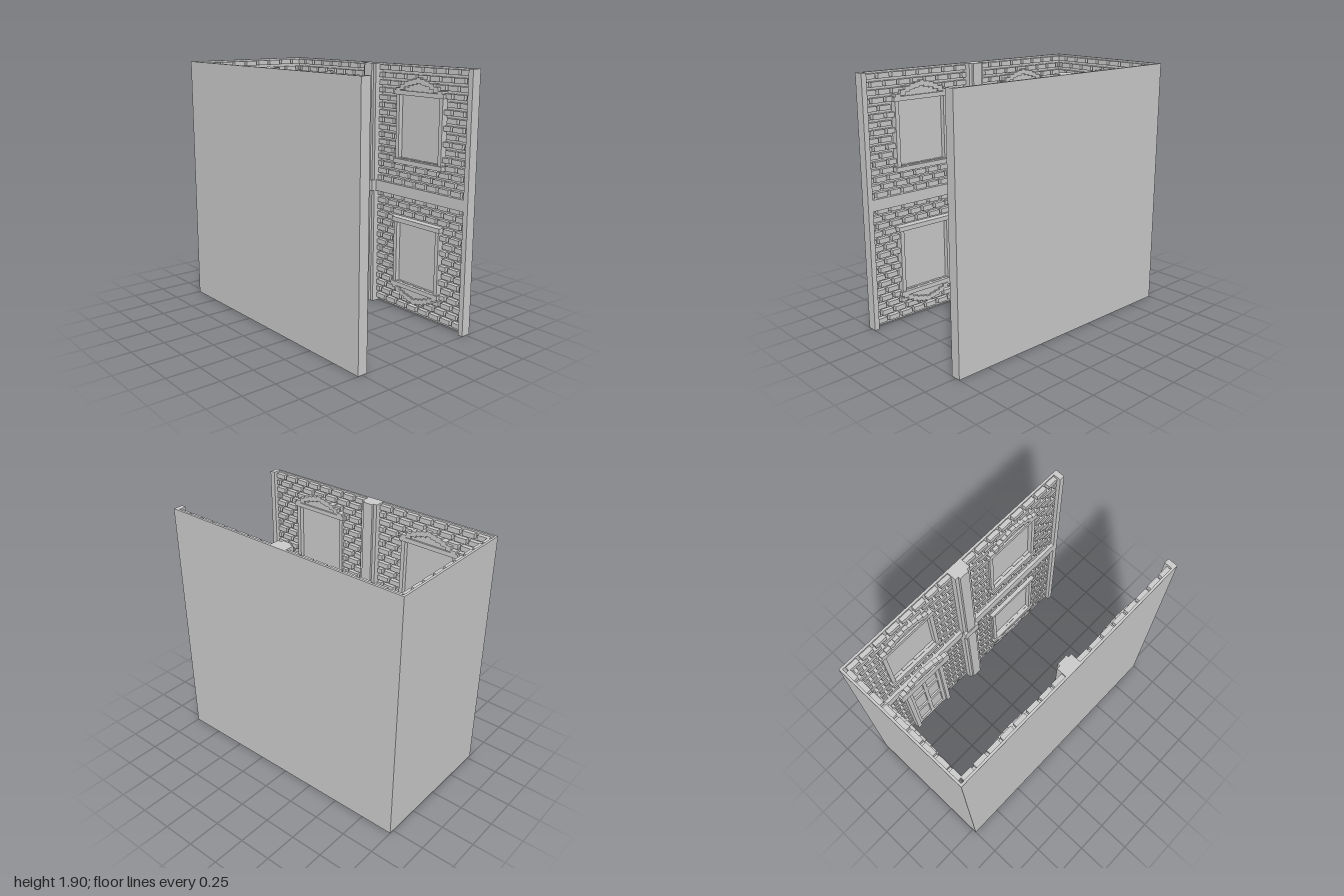
import * as THREE from 'three';
import { mergeGeometries } from 'three/addons/utils/BufferGeometryUtils.js';

const H = 1.9, BAND = [0.915, 1.0];
const MORTAR = 0.017, BRICK = 0.05, TRIM = 0.075;
const COURSE = 0.0567, PITCH = 0.115, GAP = 0.022;
const mat = new THREE.MeshStandardMaterial({ color: 0xcccccc, flatShading: true });

// Box given by its limits: u along the wall, y up, d out of the wall's outer face
function box(u0, u1, y0, y1, d0, d1) {
  const g = new THREE.BoxGeometry(u1 - u0, Math.abs(y1 - y0), d1 - d0);
  return g.translate((u0 + u1) / 2, (y0 + y1) / 2, (d0 + d1) / 2);
}

function add(parent, name, boxes) {
  const mesh = new THREE.Mesh(mergeGeometries(boxes), mat);
  mesh.name = name;
  parent.add(mesh);
}

// Stepped arch on a lintel; f = 1 rises, f = -1 hangs
function arch(u, y, f, d0, d1, lintel) {
  const parts = [box(u - 0.245, u + 0.245, y, y + f * lintel, d0, d1)];
  const base = y + f * lintel, n = 5, w = 0.0418;
  for (let i = -n; i <= n; i++) {
    const top = 0.018 + 0.075 * (1 - (i / n) ** 2) + (i === 0 ? 0.008 : 0);
    const low = Math.max(0, top - 0.04), c = u + i * w;
    parts.push(box(c - w / 2, c + w / 2, base + f * low, base + f * top, d0, d1));
    if (low > 0.005) parts.push(box(c - w / 2, c + w / 2, base, base + f * low, d0, d1 - 0.014));
  }
  return parts;
}

function addWindow(wall, u, cy, f) {
  const g = new THREE.Group();
  g.name = 'window';
  const h = 0.24;
  add(g, 'pane', [box(u - 0.2, u + 0.2, cy - h, cy + h, MORTAR, 0.03)]);
  add(g, 'jambs', [-1, 1].map(s =>
    box(u + s * 0.2145 - 0.0155, u + s * 0.2145 + 0.0155, cy - h, cy + h, MORTAR, 0.065)));
  add(g, 'sill', [box(u - 0.245, u + 0.245, cy - f * h, cy - f * (h + 0.035), MORTAR, TRIM)]);
  add(g, 'steppedArch', arch(u, cy + f * h, f, MORTAR, TRIM, 0.033));
  wall.add(g);
}

function addDoor(wall, u) {
  const g = new THREE.Group();
  g.name = 'door';
  add(g, 'doorPanel', [box(u - 0.17, u + 0.17, 0, 0.915, MORTAR, 0.06)]);
  const frame = [box(u - 0.19, u + 0.19, 0.885, 1.0, MORTAR, 0.095)];
  for (const s of [-1, 1]) {
    const c = u + s * 0.172;
    frame.push(box(c - 0.018, c + 0.018, 0, 0.9, MORTAR, 0.095));
  }
  add(g, 'doorFrame', frame);
  const rails = [0.03, 0.3, 0.58, 0.86].map(y => box(u - 0.16, u + 0.16, y - 0.025, y + 0.025, 0.05, 0.075));
  for (const c of [-0.14, 0, 0.14]) rails.push(box(u + c - 0.016, u + c + 0.016, 0, 0.89, 0.05, 0.075));
  add(g, 'doorRails', rails);
  add(g, 'doorArch', arch(u, 0.915, 1, 0.094, 0.13, 0.085));
  wall.add(g);
}

// Running-bond courses, left out where a hole [u0, u1, y0, y1] lies
function addBricks(wall, u0, u1, holes) {
  const bricks = [];
  const course = (y0, y1, row) => {
    const cuts = holes.filter(k => k[2] < (y0 + y1) / 2 && k[3] > (y0 + y1) / 2).sort((a, b) => a[0] - b[0]);
    const spans = [];
    let from = u0;
    for (const k of cuts) {
      spans.push([from, k[0]]);
      from = k[1];
    }
    spans.push([from, u1]);
    const start = Math.floor(u0 / PITCH) - 1 + (row % 2) / 2;
    for (let b = start * PITCH; b < u1; b += PITCH) {
      for (const [s, e] of spans) {
        const a = Math.max(b + GAP / 2, s), z = Math.min(b + PITCH - GAP / 2, e);
        if (z - a > 0.012) bricks.push(box(a, z, y0, y1, MORTAR - 0.005, BRICK));
      }
    }
  };
  for (let i = 0; i < 16; i++) {
    const o = i * COURSE;
    course(BAND[1] + o, Math.min(H, BAND[1] + o + 0.037), i);
    course(Math.max(0, BAND[0] - o - 0.037), BAND[0] - o, i);
  }
  add(wall, 'bricks', bricks);
}

const windowHole = (u, cy) => [u - 0.23, u + 0.23, cy - 0.24, cy + 0.24];
const LOW = 0.47, HIGH = 1.44;

function backWall() {
  const wall = new THREE.Group();
  wall.name = 'backWall';
  add(wall, 'wallSlab', [box(-0.534, 0.534, 0, H, 0, MORTAR)]);
  addBricks(wall, -0.49, 0.49, [windowHole(0, LOW), windowHole(0, HIGH)]);
  add(wall, 'band', [box(-0.49, 0.49, BAND[0], BAND[1], MORTAR, TRIM)]);
  addWindow(wall, 0, HIGH, 1);
  addWindow(wall, 0, LOW, -1);
  wall.position.z = -1;
  return wall;
}

// s = 1 is the +x wall, s = -1 the -x wall; u = s * z
function sideWall(s) {
  const wall = new THREE.Group();
  wall.name = s > 0 ? 'leftWall' : 'rightWall';
  const ends = (a, b) => (s > 0 ? [a, b] : [-b, -a]);
  const front = s * 0.5, back = -s * 0.51;
  add(wall, 'wallSlab', [box(-1, 1, 0, H, 0, MORTAR)]);
  add(wall, 'endCap', [box(...ends(0.96, 1), 0, H, 0, TRIM)]);
  addBricks(wall, ...ends(-0.96, 0.955), [
    windowHole(front, LOW), windowHole(front, HIGH), windowHole(back, HIGH),
    [back - 0.19, back + 0.19, 0, BAND[0]], [-0.065, 0.065, 0, H],
  ]);
  add(wall, 'band', [box(...ends(-0.96, 0.97), BAND[0], BAND[1], MORTAR, TRIM)]);
  // Stepped pilaster with a block where the band crosses it
  add(wall, 'pilaster', [
    box(-0.067, 0.067, 0, H, MORTAR, 0.09),
    box(-0.04, 0.04, 0, H, MORTAR, 0.108),
    box(-0.069, 0.069, BAND[0], BAND[1], MORTAR, 0.114),
  ]);
  addWindow(wall, front, HIGH, 1);
  addWindow(wall, front, LOW, -1);
  addWindow(wall, back, HIGH, 1);
  addDoor(wall, back);
  wall.rotation.y = -s * Math.PI / 2;
  wall.position.x = s * 0.534;
  return wall;
}

export function createModel() {
  const model = new THREE.Group();
  model.name = 'brickAlley';
  model.add(backWall(), sideWall(1), sideWall(-1));
  return model;
}
